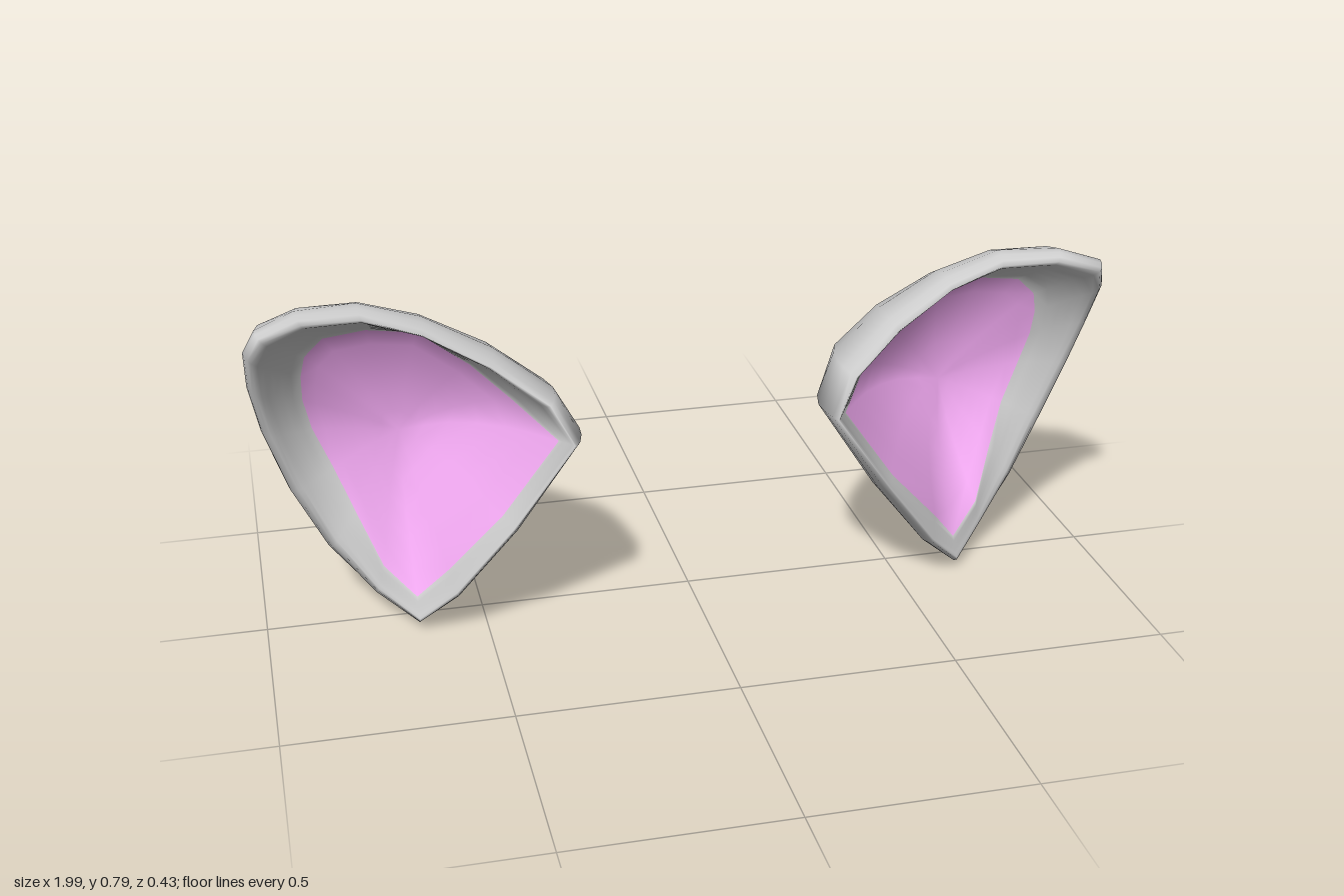
import * as THREE from 'three';
import { mergeVertices } from 'three/addons/utils/BufferGeometryUtils.js';

// Front rim from the inner tip over the top and down the outer side:
// x, y, z, depth of the back shoulder, inset and depth of the lining edge
const RIM = [
  [.30, .49, .21, -.05, .09, .16],
  [.35, .575, .175, -.10, .22, .03],
  [.47, .655, .115, -.13, .17, -.01],
  [.61, .725, .07, -.13, .10, -.03],
  [.74, .765, .05, -.125, .18, -.05],
  [.87, .772, .07, -.125, .23, -.05],
  [.955, .755, .11, -.11, .31, -.05],
  [.98, .69, .06, -.125, .33, -.06],
  [.975, .59, .005, -.15, .32, -.08],
  [.95, .47, -.035, -.17, .32, -.10],
  [.90, .32, -.06, -.18, .35, -.09],
  [.83, .18, -.045, -.18, .32, -.05],
  [.74, .07, 0, -.175, .20, .01],
  [.655, .025, .085, -.16, .12, .05],
  [.57, .11, .135, -.11, .17, .105],
  [.44, .285, .185, -.06, .10, .135],
];
const BACK_CENTRE = new THREE.Vector3(.72, .36, -.215);
const LINING_CENTRE = new THREE.Vector3(.66, .42, -.125);
const SHELL_STEPS = 21;
const LINING_STEPS = 6;

// Point on a rounded bowl, t = 0 at its centre and 1 at its edge
function bowl(centre, edge, t) {
  return centre.clone().lerp(edge, t).setZ(THREE.MathUtils.lerp(centre.z, edge.z, t * t));
}

// One station: back dome, round the rim, in to the lining edge and down its bowl
function profile([x, y, z, backZ, inset, edgeZ]) {
  const rim = new THREE.Vector3(x, y, z);
  const outline = rim.clone().sub(LINING_CENTRE).setZ(0).setLength(.022).add(rim);
  outline.z -= .06 + .08 * (.65 - x) + .25 * Math.max(0, .2 - y);
  const shoulder = rim.clone().lerp(LINING_CENTRE, .15).setZ(backZ);
  const edge = rim.clone().lerp(LINING_CENTRE, inset).setZ(edgeZ);
  const lip = rim.clone().lerp(edge, .4);
  const shell = new THREE.CatmullRomCurve3([
    BACK_CENTRE, bowl(BACK_CENTRE, shoulder, .35), bowl(BACK_CENTRE, shoulder, .7), shoulder,
    outline, rim, lip, edge,
  ]);
  const lining = new THREE.CatmullRomCurve3([
    edge, bowl(LINING_CENTRE, edge, .7), bowl(LINING_CENTRE, edge, .35), LINING_CENTRE,
  ]);
  return [...shell.getPoints(SHELL_STEPS), ...lining.getPoints(LINING_STEPS).slice(1)];
}

// Skins the closed loop of profiles and splits it into shell and lining,
// which share smooth normals; side = -1 mirrors it to the other ear
function earSurfaces(side) {
  const profiles = RIM.map(profile);
  const rows = SHELL_STEPS + LINING_STEPS + 1;
  const points = profiles.flat().map((p) => new THREE.Vector3(p.x * side, p.y, p.z));
  const index = [];
  const triangle = (a, b, c) => index.push(a, ...(side > 0 ? [b, c] : [c, b]));
  for (let i = 0; i < rows - 1; i++) {
    for (let j = 0; j < profiles.length; j++) {
      const a = j * rows + i;
      const b = ((j + 1) % profiles.length) * rows + i;
      // Single triangles close the surface at both centres
      if (i < rows - 2) triangle(b, a + 1, b + 1);
      if (i > 0) triangle(a, a + 1, b);
    }
  }
  const whole = mergeVertices(new THREE.BufferGeometry().setFromPoints(points).setIndex(index), 1e-5);
  whole.computeVertexNormals();
  const faces = Array.from(whole.index.array);
  const split = 3 * profiles.length * (2 * SHELL_STEPS - 1);
  return [
    whole.clone().setIndex(faces.slice(0, split)),
    whole.clone().setIndex(faces.slice(split)),
  ];
}

export function createModel() {
  const model = new THREE.Group();
  model.name = 'earPair';
  const grey = new THREE.MeshStandardMaterial({ color: 0xcccccc });
  const pink = new THREE.MeshStandardMaterial({ color: 0xf0a8f0 });

  for (const side of [1, -1]) {
    const ear = new THREE.Group();
    ear.name = side > 0 ? 'leftEar' : 'rightEar';
    const [shellSurface, liningSurface] = earSurfaces(side);
    const shell = new THREE.Mesh(shellSurface, grey);
    shell.name = 'earShell';
    const lining = new THREE.Mesh(liningSurface, pink);
    lining.name = 'earLining';
    ear.add(shell, lining);
    model.add(ear);
  }
  return model;
}
